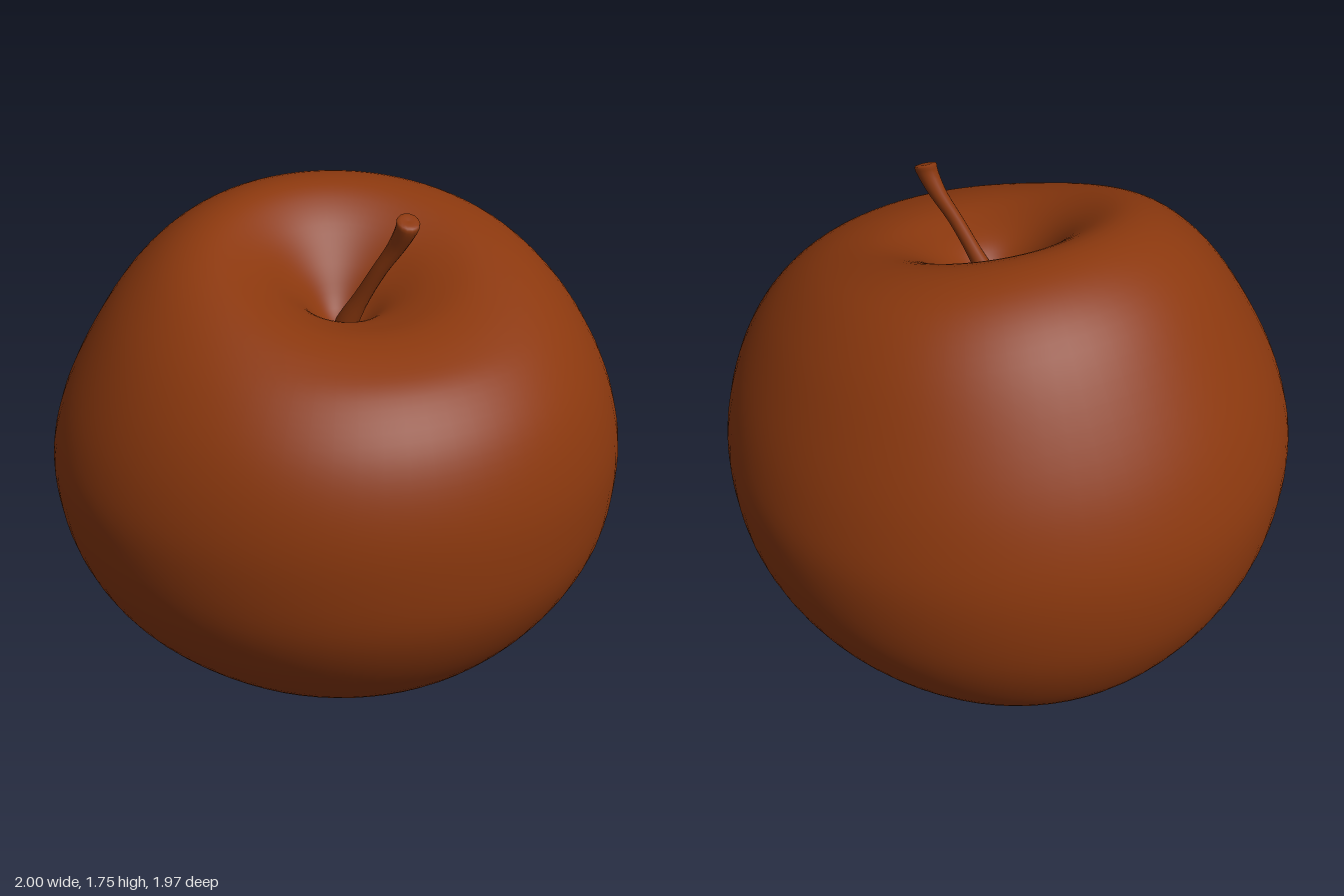
import * as THREE from 'three';

const mix = (a, b, c, d, t) => 0.5 * (2 * b + (c - a) * t + (2 * a - 5 * b + 4 * c - d) * t * t + (3 * b - a - 3 * c + d) * t * t * t);

// Skins smooth tilted rings from top to bottom.
// Each row: xMin, xMax, zMin, zMax, then ring height at the sides, back and front.
function loft(rows, steps, sides) {
  const pos = [], index = [];
  const last = rows.length - 1, rings = last * steps;
  for (let i = 0; i <= rings; i++) {
    const k = Math.min(Math.floor(i / steps), last - 1), t = i / steps - k;
    const at = (n) => rows[Math.max(0, Math.min(last, n))];
    const [x0, x1, z0, z1, ySide, yBack, yFront] = rows[k].map((_, c) =>
      mix(at(k - 1)[c], at(k)[c], at(k + 1)[c], at(k + 2)[c], t));
    const yMid = (yBack + yFront) / 2;
    for (let j = 0; j < sides; j++) {
      const a = (j / sides) * Math.PI * 2, s = Math.sin(a), c = Math.cos(a);
      pos.push(
        (x0 + x1) / 2 + ((x1 - x0) / 2) * s,
        yMid + ((yFront - yBack) / 2) * c + (ySide - yMid) * s * s,
        (z0 + z1) / 2 + ((z1 - z0) / 2) * c);
      if (i < rings) {
        const n = (j + 1) % sides, p = i * sides, q = p + sides;
        index.push(p + j, q + j, q + n, p + j, q + n, p + n);
      }
    }
  }
  const g = new THREE.BufferGeometry();
  g.setAttribute('position', new THREE.Float32BufferAttribute(pos, 3));
  g.setIndex(index);
  g.computeVertexNormals();
  return g;
}

export function createModel() {
  const group = new THREE.Group();
  group.name = 'apple';
  const skin = new THREE.MeshStandardMaterial({ color: 0x8b380e });
  skin.name = 'russet brown';
  const add = (name, geometry, parent = group) => {
    const m = new THREE.Mesh(geometry, skin);
    m.name = name;
    parent.add(m);
    return m;
  };

  // Fruit: stem hollow, tilted shoulders, belly, base and lower hollow
  add('fruit', loft([
    [-0.03, -0.03, 0.12, 0.12, 1.28, 1.28, 1.28],
    [-0.09, 0.05, 0.04, 0.19, 1.33, 1.34, 1.32],
    [-0.18, 0.15, -0.04, 0.28, 1.43, 1.47, 1.39],
    [-0.31, 0.29, -0.15, 0.40, 1.525, 1.61, 1.42],
    [-0.46, 0.45, -0.29, 0.52, 1.57, 1.69, 1.43],
    [-0.61, 0.63, -0.46, 0.65, 1.525, 1.665, 1.405],
    [-0.76, 0.78, -0.63, 0.78, 1.39, 1.545, 1.345],
    [-0.885, 0.895, -0.80, 0.90, 1.20, 1.31, 1.21],
    [-0.97, 0.97, -0.92, 0.967, 1.00, 1.07, 1.03],
    [-1.00, 1.00, -0.98, 0.985, 0.80, 0.82, 0.82],
    [-0.955, 0.965, -0.96, 0.95, 0.55, 0.55, 0.57],
    [-0.835, 0.855, -0.87, 0.83, 0.325, 0.32, 0.34],
    [-0.65, 0.69, -0.74, 0.65, 0.145, 0.14, 0.15],
    [-0.48, 0.52, -0.59, 0.45, 0.04, 0.04, 0.05],
    [-0.35, 0.34, -0.42, 0.29, 0.005, 0.02, 0.02],
    [-0.23, 0.16, -0.24, 0.18, 0.045, 0.045, 0.045],
    [-0.14, 0.05, -0.13, 0.08, 0.105, 0.105, 0.105],
    [-0.05, -0.05, -0.03, -0.03, 0.13, 0.13, 0.13],
  ], 5, 72));

  // Stem: leaning rod with a flared, slanted tip; each entry is x, y, z, radius
  const stem = [
    [0.13, 1.74, 0.335, 0], [0.13, 1.74, 0.335, 0.036], [0.125, 1.71, 0.33, 0.036],
    [0.105, 1.64, 0.295, 0.03], [0.065, 1.55, 0.25, 0.026],
    [0.025, 1.44, 0.195, 0.028], [-0.01, 1.34, 0.15, 0.038], [-0.03, 1.24, 0.12, 0.045],
  ];
  add('stem', loft(stem.map(([x, y, z, r]) =>
    [x - r, x + r, z - r, z + r, y, y + r * 0.4, y - r * 0.4]), 3, 14));

  // Dried sepals crumpled in the lower hollow
  const sepals = new THREE.Group();
  sepals.name = 'sepals';
  sepals.position.set(-0.05, 0, -0.03);
  group.add(sepals);
  for (let i = 0; i < 7; i++) {
    const arm = new THREE.Group();
    arm.name = 'sepalArm';
    arm.rotation.y = (i / 7) * Math.PI * 2 + (i % 2) * 0.2;
    sepals.add(arm);
    const sepal = add('sepal', new THREE.ConeGeometry(0.05, 0.16, 8, 2), arm);
    sepal.position.set(0.075, 0.095, 0);
    sepal.rotation.z = -(Math.PI - 1.1 - (i % 3) * 0.15);
    sepal.scale.x = 0.35;
  }
  return group;
}
